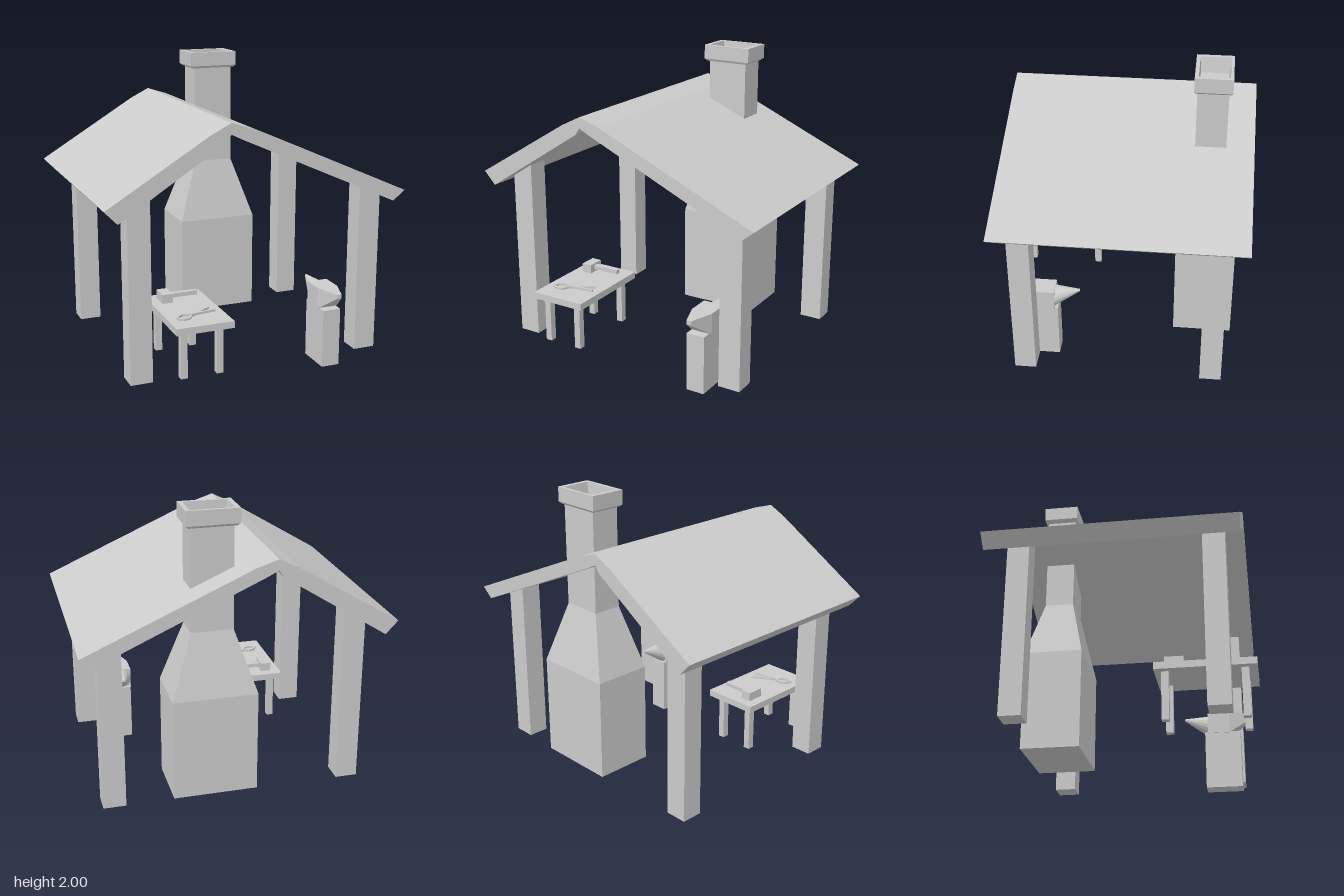
import * as THREE from 'three';

const material = new THREE.MeshStandardMaterial({ color: 0xcccccc, flatShading: true });

function add(parent, name, geometry, x = 0, y = 0, z = 0) {
  const mesh = new THREE.Mesh(geometry, material);
  mesh.name = name;
  mesh.position.set(x, y, z);
  parent.add(mesh);
  return mesh;
}

// Box given by its limits on each axis
function block(parent, name, x0, x1, y0, y1, z0, z1) {
  return add(parent, name, new THREE.BoxGeometry(x1 - x0, y1 - y0, z1 - z0),
    (x0 + x1) / 2, (y0 + y1) / 2, (z0 + z1) / 2);
}

// Skin through four-cornered rings, closed at both ends
function loft(rings) {
  const pos = [];
  const quad = (a, b, c, d) => pos.push(...a, ...b, ...c, ...a, ...c, ...d);
  for (let i = 0; i < rings.length - 1; i++) {
    for (let k = 0; k < 4; k++) {
      const n = (k + 1) % 4;
      quad(rings[i][k], rings[i][n], rings[i + 1][n], rings[i + 1][k]);
    }
  }
  quad(...[...rings[0]].reverse());
  quad(...rings[rings.length - 1]);
  const geometry = new THREE.BufferGeometry();
  geometry.setAttribute('position', new THREE.Float32BufferAttribute(pos, 3));
  geometry.computeVertexNormals();
  return geometry;
}
const levelRing = (y, x0, x1, z0, z1) => [[x0, y, z1], [x1, y, z1], [x1, y, z0], [x0, y, z0]];
const uprightRing = (z, x0, x1, y0, y1) => [[x0, y0, z], [x1, y0, z], [x1, y1, z], [x0, y1, z]];

function createRoof() {
  const profile = [
    [-1, 1.25], [-0.92, 1.165], [-0.24, 1.6], [-0.21, 1.645], [-0.14, 1.61],
    [0.92, 1.135], [1, 1.2], [-0.07, 1.67], [-0.21, 1.715], [-0.34, 1.65],
  ].map(([x, y]) => new THREE.Vector2(x, y));
  const geometry = new THREE.ExtrudeGeometry(new THREE.Shape(profile), { depth: 1.59, bevelEnabled: false });
  return geometry.translate(0, 0, -0.82);
}

function createTable() {
  const table = new THREE.Group();
  table.name = 'workTable';
  block(table, 'tableTop', -0.585, -0.205, 0.445, 0.49, 0.19, 0.82);
  for (const x of [-0.518, -0.28]) {
    for (const z of [0.257, 0.745]) {
      block(table, 'tableLeg', x - 0.022, x + 0.022, 0.135, 0.447, z - 0.023, z + 0.023);
    }
  }
  // Hammer
  block(table, 'hammerHead', -0.52, -0.45, 0.489, 0.55, 0.25, 0.37);
  block(table, 'hammerHandle', -0.452, -0.265, 0.508, 0.536, 0.293, 0.327);
  // Tongs: two crossed handles and a pair of bent jaws
  const tongs = new THREE.Group();
  tongs.name = 'tongs';
  tongs.position.set(-0.43, 0.497, 0.645);
  tongs.rotation.y = -0.35 + 0.75;
  tongs.rotation.y = 0.35;
  for (const s of [-1, 1]) {
    const points = [[0.17, 0.032], [0, -0.006], [-0.035, -0.036], [-0.075, -0.03], [-0.1, -0.006]];
    for (let i = 0; i < points.length - 1; i++) {
      const [ax, az] = points[i], [bx, bz] = points[i + 1];
      const length = Math.hypot(bx - ax, bz - az) + 0.006;
      const bar = add(tongs, 'tongsBar', new THREE.BoxGeometry(length, 0.015, 0.014),
        (ax + bx) / 2, s * 0.0015, s * (az + bz) / 2);
      bar.rotation.y = -Math.atan2(s * (bz - az), bx - ax);
    }
  }
  table.add(tongs);
  return table;
}

function createAnvil() {
  const anvil = new THREE.Group();
  anvil.name = 'anvil';
  block(anvil, 'anvilStand', 0.495, 0.62, 0.005, 0.4, 0.415, 0.66);
  // Body with a tapering heel towards the front
  add(anvil, 'anvilBody', loft([
    uprightRing(0.435, 0.49, 0.632, 0.392, 0.535),
    uprightRing(0.585, 0.49, 0.632, 0.392, 0.535),
    uprightRing(0.748, 0.545, 0.577, 0.507, 0.535),
  ]));
  // Horn: a cone sheared so that its top stays nearly level
  const horn = new THREE.CylinderGeometry(0.008, 0.07, 0.165, 16);
  horn.rotateX(-Math.PI / 2).translate(0.561, 0.463, 0.3525);
  const p = horn.attributes.position;
  for (let i = 0; i < p.count; i++) {
    p.setY(i, p.getY(i) + 0.055 * (0.435 - p.getZ(i)) / 0.165);
  }
  horn.computeVertexNormals();
  add(anvil, 'anvilHorn', horn);
  return anvil;
}

export function createModel() {
  const model = new THREE.Group();
  model.name = 'openForge';

  add(model, 'roof', createRoof());

  // Four posts reaching into the roof
  for (const [z0, z1] of [[0.53, 0.67], [-0.69, -0.55]]) {
    block(model, 'post', -0.835, -0.69, 0.1, 1.315, z0, z1);
    block(model, 'post', 0.73, 0.878, 0.1, 1.23, z0, z1);
  }

  // Furnace, chimney, rim and hollow flue in one skin
  add(model, 'furnaceAndChimney', loft([
    levelRing(0.135, -0.122, 0.428, -0.74, -0.35),
    levelRing(0.81, -0.122, 0.428, -0.74, -0.35),
    levelRing(1.225, 0.016, 0.29, -0.642, -0.447),
    levelRing(1.89, 0.016, 0.29, -0.642, -0.447),
    levelRing(1.89, 0.003, 0.303, -0.652, -0.437),
    levelRing(1.905, -0.017, 0.32, -0.665, -0.428),
    levelRing(2, -0.017, 0.32, -0.665, -0.428),
    levelRing(2, 0.012, 0.29, -0.645, -0.452),
    levelRing(1.9, 0.03, 0.275, -0.638, -0.458),
  ]));

  model.add(createTable(), createAnvil());
  return model;
}
